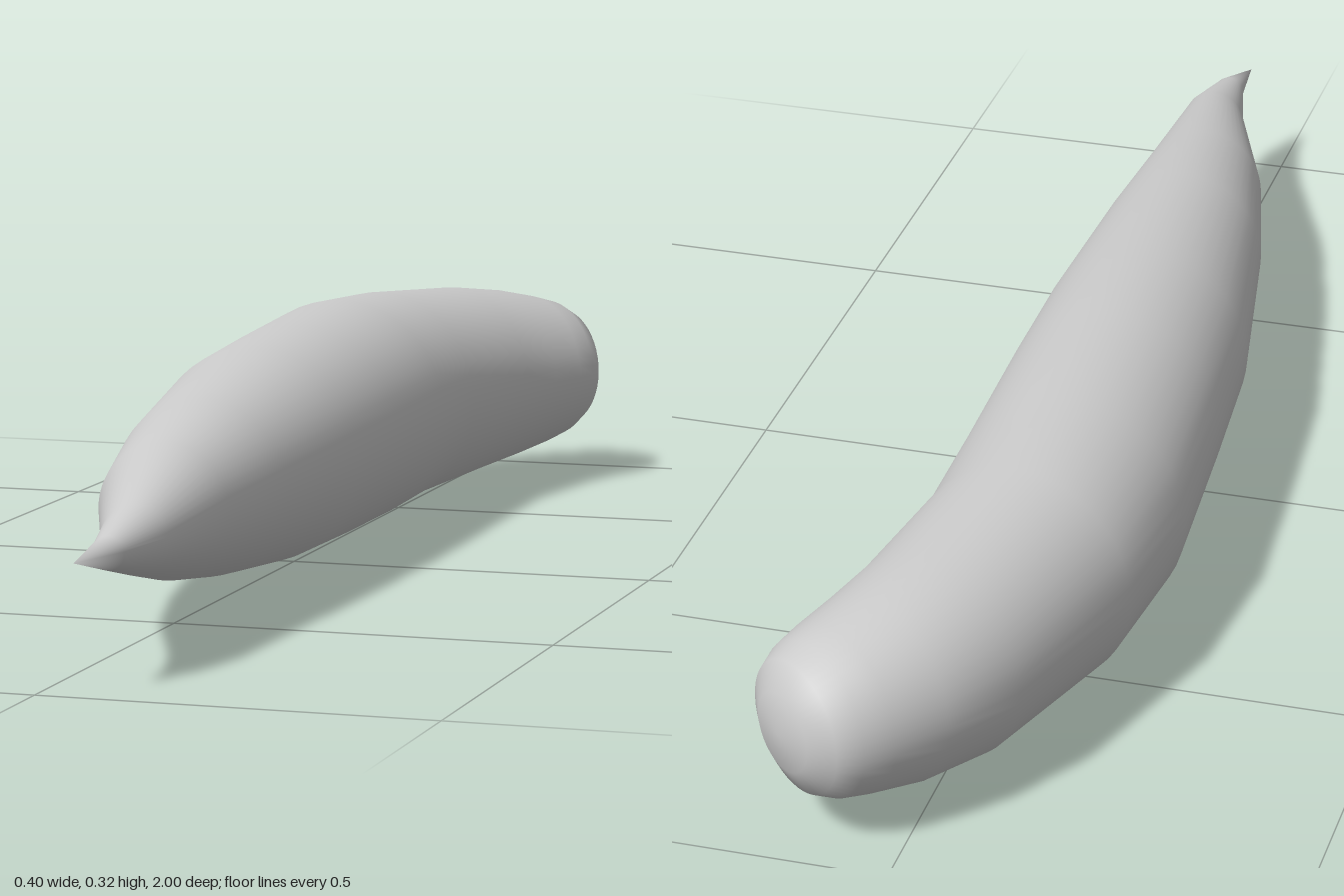
import * as THREE from 'three';

const SIDES = 48;
const AXIS_Y = 0.163;

// Stations from the pointed front to the blunt back:
// right edge x, z and left edge x, z of each round ring
const STATIONS = [
  [0.043, 0.92, 0.085, 0.92],
  [0.018, 0.82, 0.105, 0.82],
  [-0.065, 0.6, 0.11, 0.6],
  [-0.115, 0.4, 0.118, 0.4],
  [-0.17, 0.1, 0.124, 0.1],
  [-0.186, -0.1, 0.122, -0.1],
  [-0.204, -0.36, 0.116, -0.34],
  [-0.185, -0.56, 0.115, -0.5],
  [-0.11, -0.8, 0.145, -0.69],
  [-0.05, -0.9, 0.167, -0.77],
  [0.0, -0.955, 0.188, -0.83],
  [0.03, -0.984, 0.198, -0.865],
  [0.06, -1.0, 0.2, -0.895],
  [0.1, -0.995, 0.183, -0.932],
];
const FRONT_TIP = [0.05, AXIS_Y, 1];
const BACK_TIP = [0.146, AXIS_Y, -0.969];

// Skins the rings and closes both ends with a shared pole vertex
function bodyGeometry() {
  const positions = [];
  const index = [];
  for (const [x0, z0, x1, z1] of STATIONS) {
    const cx = (x0 + x1) / 2, cz = (z0 + z1) / 2;
    const ux = (x1 - x0) / 2, uz = (z1 - z0) / 2;
    const radius = Math.hypot(ux, uz);
    for (let j = 0; j < SIDES; j++) {
      const a = (j / SIDES) * Math.PI * 2;
      positions.push(cx + ux * Math.cos(a), AXIS_Y + radius * Math.sin(a), cz + uz * Math.cos(a));
    }
  }
  const front = STATIONS.length * SIDES, back = front + 1;
  positions.push(...FRONT_TIP, ...BACK_TIP);

  const last = (STATIONS.length - 1) * SIDES;
  for (let j = 0; j < SIDES; j++) {
    const k = (j + 1) % SIDES;
    index.push(front, j, k);
    for (let r = 0; r < last; r += SIDES) {
      const a = r + j, b = r + k, c = a + SIDES, d = b + SIDES;
      index.push(a, c, b, b, c, d);
    }
    index.push(last + j, back, last + k);
  }
  const geometry = new THREE.BufferGeometry();
  geometry.setAttribute('position', new THREE.Float32BufferAttribute(positions, 3));
  geometry.setIndex(index);
  geometry.computeVertexNormals();
  return geometry;
}

export function createModel() {
  const group = new THREE.Group();
  group.name = 'curvedTaperedBody';
  const grey = new THREE.MeshStandardMaterial({ color: 0xcccccc });
  grey.name = 'light grey';
  const body = new THREE.Mesh(bodyGeometry(), grey);
  body.name = 'body';
  group.add(body);
  return group;
}
